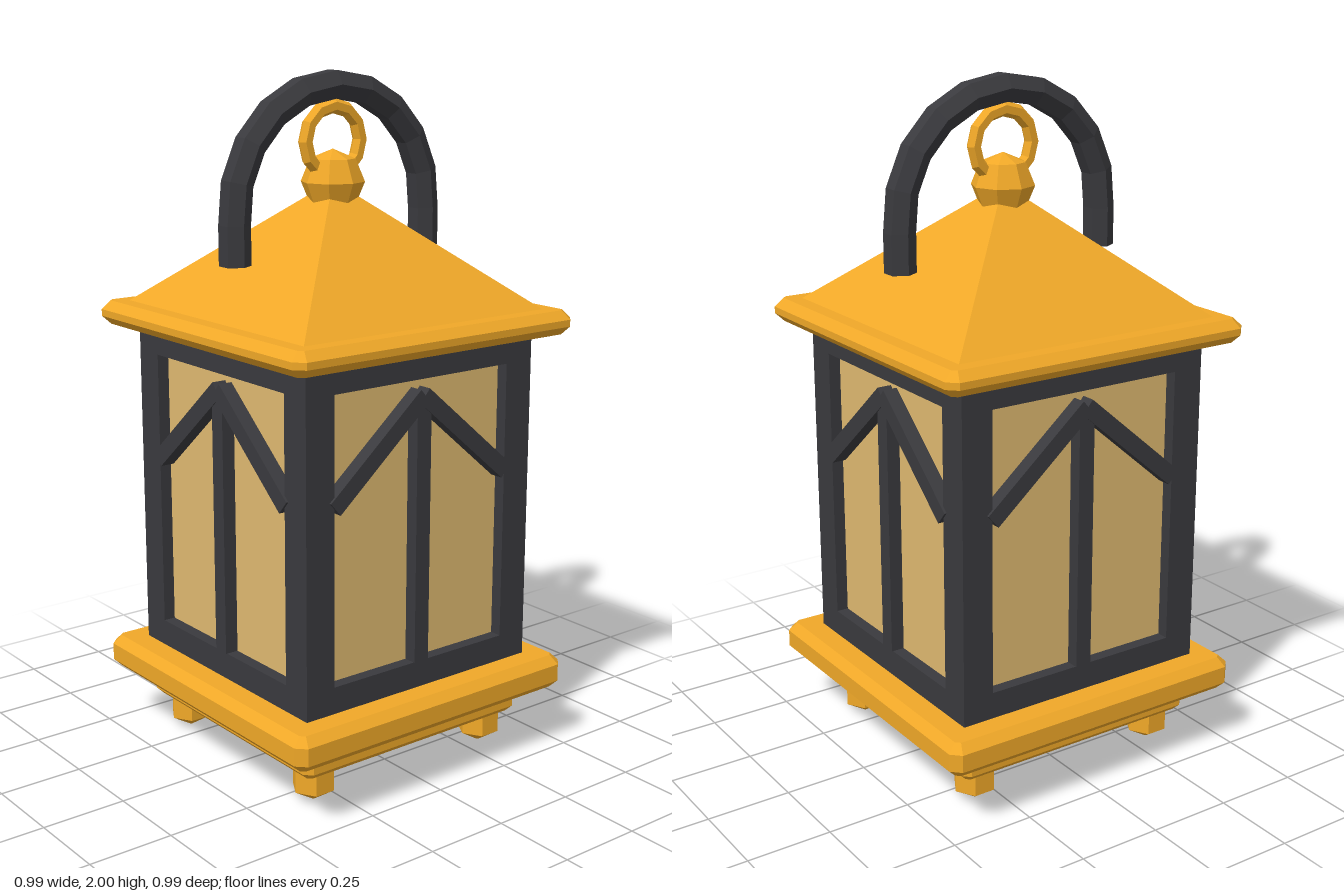
import * as THREE from 'three';

const mat = (color) => new THREE.MeshStandardMaterial({ color, flatShading: true });

export function createModel() {
  const model = new THREE.Group();
  const gold = mat(0xf0a828), iron = mat(0x3a3a3e), glass = mat(0xdfb970);

  function add(name, geometry, material, x = 0, y = 0, z = 0, parent = model) {
    const mesh = new THREE.Mesh(geometry, material);
    mesh.name = name;
    mesh.position.set(x, y, z);
    parent.add(mesh);
    return mesh;
  }

  // Square slab with chamfered edges and corners, standing on height y0
  function slab(name, half, y0, y1, bevel) {
    const a = half - bevel, c = a - bevel * 0.5;
    const shape = new THREE.Shape([
      [a, -c], [a, c], [c, a], [-c, a], [-a, c], [-a, -c], [-c, -a], [c, -a],
    ].map(([x, y]) => new THREE.Vector2(x, y)));
    const geometry = new THREE.ExtrudeGeometry(shape, {
      depth: y1 - y0 - 2 * bevel, bevelEnabled: true,
      bevelSize: bevel, bevelThickness: bevel, bevelSegments: 1,
    });
    geometry.rotateX(-Math.PI / 2);
    add(name, geometry, gold, 0, y0 + bevel, 0);
  }

  slab('lowerBase', 0.398, 0.1, 0.188, 0.02);
  slab('upperBase', 0.495, 0.185, 0.287, 0.025);
  slab('eave', 0.495, 1.265, 1.335, 0.025);

  // Hexagonal feet with pointed tips, and corner posts
  for (const sx of [-1, 1]) for (const sz of [-1, 1]) {
    add('foot', new THREE.CylinderGeometry(0.063, 0.063, 0.075, 6), gold, sx * 0.315, 0.0725, sz * 0.315);
    add('footTip', new THREE.CylinderGeometry(0.063, 0.005, 0.035, 6), gold, sx * 0.315, 0.0175, sz * 0.315);
    add('cornerPost', new THREE.BoxGeometry(0.095, 0.98, 0.095), iron, sx * 0.3575, 0.775, sz * 0.3575);
  }

  // Glass body, set back behind the frame
  add('glass', new THREE.BoxGeometry(0.738, 0.98, 0.738), glass, 0, 0.775, 0);

  // Rails, mullion and slanted braces on each of the four sides
  for (let i = 0; i < 4; i++) {
    const side = new THREE.Group();
    side.name = 'sideFrame';
    side.rotation.y = i * Math.PI / 2;
    add('topRail', new THREE.BoxGeometry(0.62, 0.077, 0.09), iron, 0, 1.2265, 0.36, side);
    add('bottomRail', new THREE.BoxGeometry(0.62, 0.08, 0.09), iron, 0, 0.325, 0.36, side);
    add('mullion', new THREE.BoxGeometry(0.05, 0.775, 0.05), iron, 0, 0.7525, 0.384, side);
    for (const s of [-1, 1]) {
      const brace = add('brace', new THREE.BoxGeometry(0.41, 0.05, 0.05), iron, s * 0.155, 1.008, 0.387, side);
      brace.rotation.z = -s * 0.707;
    }
    model.add(side);
  }

  // Four-sided roof
  const roof = new THREE.CylinderGeometry(0.05 * Math.SQRT2, 0.425 * Math.SQRT2, 0.315, 4);
  roof.rotateY(Math.PI / 4);
  add('roof', roof, gold, 0, 1.4925, 0);

  // Finial ball and hanging ring
  add('finial', new THREE.SphereGeometry(0.092, 8, 4), gold, 0, 1.69, 0);
  const ring = add('ring', new THREE.TorusGeometry(0.097, 0.022, 6, 12), gold, 0, 1.805, 0);
  ring.rotation.y = Math.PI / 2;

  // Arched hexagonal handle running front to back
  const R = 0.34, springY = 1.621, endY = 1.48;
  const v = (x, y) => new THREE.Vector3(x, y, 0);
  class Arch extends THREE.Curve {
    getPoint(t) {
      const leg = springY - endY, arc = Math.PI * R;
      const d = t * (2 * leg + arc);
      if (d < leg) return v(-R, endY + d);
      if (d > leg + arc) return v(R, springY - (d - leg - arc));
      const a = Math.PI - (d - leg) / R;
      return v(R * Math.cos(a), springY + R * Math.sin(a));
    }
  }
  const handle = add('handle', new THREE.TubeGeometry(new Arch(), 12, 0.045, 6, false), iron);
  handle.rotation.y = Math.PI / 2;
  for (const s of [-1, 1]) {
    const cap = new THREE.CircleGeometry(0.045, 6);
    cap.rotateX(Math.PI / 2);
    add('handleEnd', cap, iron, 0, endY, s * R);
  }
  return model;
}
